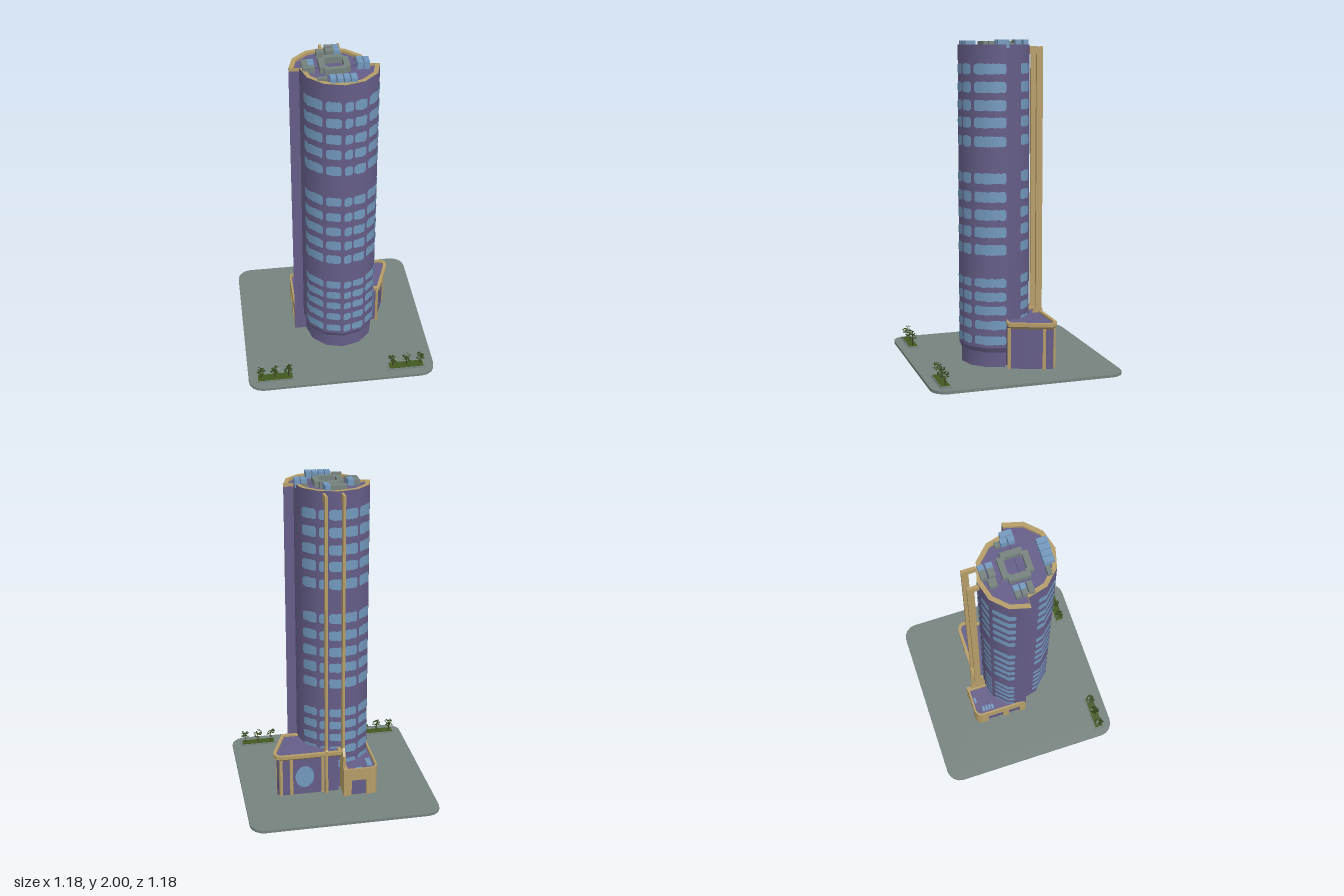
import * as THREE from 'three';
import { toCreasedNormals, mergeGeometries } from 'three/addons/utils/BufferGeometryUtils.js';

const mat = (name, color, side = THREE.FrontSide) => {
  const m = new THREE.MeshStandardMaterial({ color, side });
  m.name = name;
  return m;
};

let seed = 7;
const rand = () => (seed = (seed * 16807) % 2147483647) / 2147483647;

// Plan outlines are given as [x, z] and kept counter-clockwise in (x, -z)
const outline = (list) => {
  const p = list.map(([x, z]) => new THREE.Vector2(x, -z));
  return THREE.ShapeUtils.area(p) < 0 ? p.reverse() : p;
};
const inset = (p, d) => p.map((b, i) => {
  const a = p[(i + p.length - 1) % p.length], c = p[(i + 1) % p.length];
  const u = b.clone().sub(a).normalize(), v = c.clone().sub(b).normalize();
  const n = new THREE.Vector2(-u.y - v.y, u.x + v.x).normalize();
  return b.clone().addScaledVector(n, d / Math.max(0.3, n.x * -u.y + n.y * u.x));
});
const prismGeo = (p, y0, y1, hole) => {
  const s = new THREE.Shape(p);
  if (hole) s.holes.push(new THREE.Path(hole));
  return new THREE.ExtrudeGeometry(s, { depth: y1 - y0, bevelEnabled: false })
    .rotateX(-Math.PI / 2).translate(0, y0, 0);
};
// Open wall between two plan outlines at different heights
const wallGeo = (lo, y0, hi, y1) => {
  const v = [];
  lo.forEach((a, i) => {
    const j = (i + 1) % lo.length;
    const A = [a.x, y0, -a.y], B = [lo[j].x, y0, -lo[j].y];
    const C = [hi[j].x, y1, -hi[j].y], D = [hi[i].x, y1, -hi[i].y];
    v.push(...A, ...B, ...C, ...A, ...C, ...D);
  });
  const g = new THREE.BufferGeometry();
  g.setAttribute('position', new THREE.Float32BufferAttribute(v, 3));
  g.computeVertexNormals();
  return toCreasedNormals(g, 0.6);
};

// The tower is two half drums, slid apart sideways along their flat sides
const FRONT = { cx: 0.04, cz: 0.06, s: 1 }, BACK = { cx: -0.02, cz: 0.057, s: -1 };
const arc = (h, r) => Array.from({ length: 7 }, (_, i) => {
  const a = i * Math.PI / 6;
  return [h.cx + r * Math.cos(a), h.cz + h.s * r * Math.sin(a)];
});

export function createModel() {
  const purple = mat('purple wall', 0x655d88), gray = mat('gray paving', 0x76827e);
  const tan = mat('tan trim', 0xb59d68), blue = mat('blue glass', 0x7298bd);
  const green = mat('planting green', 0x42591f);
  const leaf = mat('dark leaf', 0x2f4518, THREE.DoubleSide), bark = mat('bark', 0x44362a);
  const model = new THREE.Group();
  const add = (name, geo, m, parent = model) => {
    const mesh = new THREE.Mesh(geo, m);
    mesh.name = name;
    parent.add(mesh);
    return mesh;
  };
  const group = (name) => {
    const g = new THREE.Group();
    g.name = name;
    model.add(g);
    return g;
  };
  // Box from x, y and z ranges
  const box = (name, m, x0, x1, y0, y1, z0, z1, parent) =>
    add(name, new THREE.BoxGeometry(x1 - x0, y1 - y0, z1 - z0)
      .translate((x0 + x1) / 2, (y0 + y1) / 2, (z0 + z1) / 2), m, parent);

  // Ground slab with rounded corners
  const S = 0.59, R = 0.09, slab = [];
  [[1, 1], [-1, 1], [-1, -1], [1, -1]].forEach(([sx, sz], q) => {
    for (let i = 0; i <= 4; i++) {
      const a = (q + i / 4) * Math.PI / 2;
      slab.push([sx * (S - R) + R * Math.cos(a), sz * (S - R) + R * Math.sin(a)]);
    }
  });
  add('groundSlab', prismGeo(outline(slab), 0.016, 0.033), gray);

  // Tower walls: narrow front foot, flare, shaft
  const tower = group('tower');
  const half = (h, r) => outline(arc(h, r));
  add('frontFoot', wallGeo(half(FRONT, 0.215), 0.02, half(FRONT, 0.215), 0.125), purple, tower);
  add('frontFlare', wallGeo(half(FRONT, 0.215), 0.125, half(FRONT, 0.23), 0.155), purple, tower);
  add('frontShaft', wallGeo(half(FRONT, 0.23), 0.155, half(FRONT, 0.23), 1.97), purple, tower);
  add('backShaft', wallGeo(half(BACK, 0.23), 0.02, half(BACK, 0.23), 1.97), purple, tower);

  // Flat roof inside a tan parapet
  const plan = (r) => outline([...arc(FRONT, r), ...arc(BACK, r).reverse()]);
  add('towerRoof', prismGeo(plan(0.215), 1.94, 1.955), purple, tower);
  add('towerParapet', prismGeo(plan(0.2295), 1.95, 1.971, plan(0.203)), tan, tower);

  // Window bands: ragged strips that follow the wall facets, 12 steps per facet
  const strip = (h, k0, k1, y, height) => {
    const pos = [], nor = [], idx = [], verts = arc(h, 0.2325);
    for (let k = k0; k <= k1; k++) {
      const f = Math.min(5, Math.floor(k / 12)), t = k / 12 - f, a = k * Math.PI / 72;
      const x = verts[f][0] * (1 - t) + verts[f + 1][0] * t;
      const z = verts[f][1] * (1 - t) + verts[f + 1][1] * t;
      const e = height / 2 * (k === k0 || k === k1 ? 0.6 : 0.85 + 0.2 * rand());
      pos.push(x, y - e, z, x, y + e, z);
      for (let i = 0; i < 2; i++) nor.push(Math.cos(a), 0, h.s * Math.sin(a));
      const b = (k - k0) * 2;
      if (k < k1) idx.push(...(h.s > 0 ? [b, b + 1, b + 3, b, b + 3, b + 2] : [b, b + 3, b + 1, b, b + 2, b + 3]));
    }
    const g = new THREE.BufferGeometry();
    g.setAttribute('position', new THREE.Float32BufferAttribute(pos, 3));
    g.setAttribute('normal', new THREE.Float32BufferAttribute(nor, 3));
    g.setIndex(idx);
    return g;
  };
  const spans = [
    [FRONT, [[0, 20], [22, 30], [31, 36], [38, 47], [49, 65]]],
    [BACK, [[12, 22], [24, 28], [30, 38], [40, 48], [50, 64]]],
  ];
  const rows = [0.202, 0.297, 0.387, 0.472, 0.557, 0.759, 0.865, 0.97, 1.077, 1.188, 1.406, 1.517, 1.618, 1.724, 1.83];
  for (const y of rows) {
    const parts = spans.flatMap(([h, list]) => list.map(([a, b]) => strip(h, a, b, y, y < 0.6 ? 0.056 : 0.066)));
    add('windowBand', mergeGeometries(parts), blue, tower);
  }

  // Roof plant: notched ring and equipment boxes [colour, x0, x1, z0, z1, top]
  const roof = group('roofPlant');
  const notched = (w, n) => outline([[w, w - n], [w - n, w - n], [w - n, w], [n - w, w], [n - w, w - n], [-w, w - n],
    [-w, n - w], [n - w, n - w], [n - w, -w], [w - n, -w], [w - n, n - w], [w, n - w]]);
  add('coolingRing', prismGeo(notched(0.087, 0.026), 1.95, 1.992, notched(0.053, 0.011)), gray, roof)
    .position.set(0.008, 0, 0.051);
  const units = [
    [gray, -0.077, -0.03, -0.117, -0.073, 1.99], [gray, -0.024, 0.025, -0.148, -0.114, 2],
    [blue, 0.025, 0.058, -0.148, -0.114, 2], [gray, -0.024, 0.025, -0.104, -0.066, 2],
    [blue, 0.025, 0.058, -0.104, -0.066, 2], [gray, -0.175, -0.14, -0.003, 0.028, 1.99],
    [blue, -0.14, -0.105, -0.003, 0.028, 1.99], [gray, -0.175, -0.14, 0.035, 0.066, 1.99],
    [blue, -0.14, -0.105, 0.035, 0.066, 1.99], [gray, -0.175, -0.105, 0.073, 0.104, 1.99],
    [gray, 0.137, 0.168, -0.02, 0.01, 1.98], [blue, 0.137, 0.171, 0.013, 0.05, 2],
    [blue, 0.137, 0.171, 0.056, 0.092, 2], [blue, 0.176, 0.207, 0.022, 0.092, 2],
    [gray, -0.105, -0.05, 0.2, 0.225, 1.985], [blue, -0.038, -0.005, 0.2, 0.26, 1.995],
    [blue, 0.002, 0.034, 0.2, 0.26, 1.995], [blue, 0.04, 0.072, 0.2, 0.263, 1.995],
    [blue, 0.078, 0.112, 0.2, 0.263, 1.995],
  ];
  for (const [m, x0, x1, z0, z1, top] of units) box('roofUnit', m, x0, x1, 1.95, top, z0, z1, roof);

  // Large annex with flared cornice
  const annex = group('largeAnnex');
  const big = outline([[-0.03, 0.06], [-0.03, -0.235], [0.35, -0.235], [0.382, -0.222], [0.398, -0.195], [0.395, -0.165], [0.31, 0.06]]);
  const bigWall = inset(big, 0.02);
  add('annexWall', wallGeo(bigWall, 0.02, bigWall, 0.285), purple, annex);
  add('annexRoof', prismGeo(inset(big, 0.015), 0.29, 0.308), purple, annex);
  add('corniceFlare', wallGeo(bigWall, 0.28, big, 0.298), tan, annex);
  add('cornice', prismGeo(big, 0.298, 0.32, bigWall), tan, annex);
  const posts = [[0.296, 0.05, 1.2], [0.368, -0.15, 1.2], [0.355, -0.212, 0.4], [0.29, -0.215, 0], [0.09, -0.215, 0]];
  for (const [x, z, turn] of posts) {
    const p = add('annexPost', new THREE.BoxGeometry(0.02, 0.265, 0.014).translate(0, 0.1525, 0), tan, annex);
    p.position.set(x, 0, z);
    p.rotation.y = turn;
  }
  add('annexWindow', new THREE.CylinderGeometry(0.06, 0.06, 0.006, 14).rotateX(Math.PI / 2)
    .scale(1, 1.25, 1).translate(0.205, 0.155, -0.216), blue, annex);

  // Small annex: purple core behind a tan frame of posts and parapet
  const lodge = group('smallAnnex');
  const corner = [[-0.25, -0.25], [-0.246, -0.268], [-0.235, -0.284], [-0.21, -0.295]];
  const small = outline([[-0.25, 0.056], ...corner, [-0.045, -0.295], [-0.045, 0.056]]);
  const core = inset(small, 0.012);
  add('lodgeCore', prismGeo(core, 0.02, 0.2), purple, lodge);
  add('lodgeParapet', prismGeo(small, 0.14, 0.22, core), tan, lodge);
  add('cornerPost', prismGeo(outline([[-0.25, -0.21], ...corner, [-0.175, -0.295], [-0.175, -0.21]]), 0.02, 0.15), tan, lodge);
  for (const z of [-0.085, 0.036]) box('sidePost', tan, -0.25, -0.23, 0.02, 0.15, z - 0.02, z + 0.02, lodge);
  box('rearPost', tan, -0.08, -0.045, 0.02, 0.15, -0.295, -0.275, lodge);
  for (let i = 0; i < 4; i++) box('lodgeUnit', blue, -0.222, -0.19, 0.195, 0.215, -0.24 + i * 0.021, -0.224 + i * 0.021, lodge);
  box('lodgeUnit', blue, -0.15, -0.115, 0.195, 0.215, -0.277, -0.262, lodge);

  // Tall fins behind the tower; profile in (-z, y)
  const fin = (x, foot) => {
    const p = [[0.15, 1.96], [0.15, 1.915], [0.195, 1.915], [0.195, 0.34], [0.17, 0.3], [0.17, 0], ...foot, [0.235, 1.96]];
    const g = new THREE.ExtrudeGeometry(new THREE.Shape(p.map(([a, b]) => new THREE.Vector2(a, b))), { depth: 0.016, bevelEnabled: false });
    add('tallFin', g.rotateY(Math.PI / 2).translate(x, 0, 0), tan);
  };
  fin(-0.046, [[0.298, 0], [0.298, 0.22], [0.268, 0.22], [0.268, 0.3], [0.235, 0.345]]);
  fin(0.06, [[0.24, 0], [0.24, 0.33], [0.235, 0.34]]);

  // Foundation strips showing under the slab
  const foot = (p) => add('foundation', prismGeo(p, 0, 0.02, inset(p, 0.012)), purple);
  foot(half(FRONT, 0.215));
  foot(bigWall);

  // Planters with three small trees each
  const planter = (x0, x1, treeXs) => {
    const g = group('planter');
    box('planterFrame', gray, x0, x1, 0.03, 0.041, 0.47, 0.535, g);
    box('planterBed', green, x0 + 0.014, x1 - 0.014, 0.035, 0.045, 0.477, 0.528, g);
    for (const tx of treeXs) {
      add('trunk', new THREE.CylinderGeometry(0.002, 0.004, 0.06, 5).translate(tx, 0.07, 0.503), bark, g);
      const leaves = [];
      for (let i = 0; i < 26; i++) {
        const a = i * 2.4, r = 0.024 * Math.sqrt(rand());
        leaves.push(new THREE.CircleGeometry(0.009, 4).rotateX(-0.5 - 1.6 * rand()).rotateY(a)
          .translate(tx + r * Math.cos(a), 0.08 + 0.04 * rand(), 0.503 + r * Math.sin(a)));
      }
      add('leaves', mergeGeometries(leaves), leaf, g);
    }
  };
  planter(-0.545, -0.3, [-0.512, -0.423, -0.338]);
  planter(0.29, 0.535, [0.325, 0.414, 0.502]);

  return model;
}
